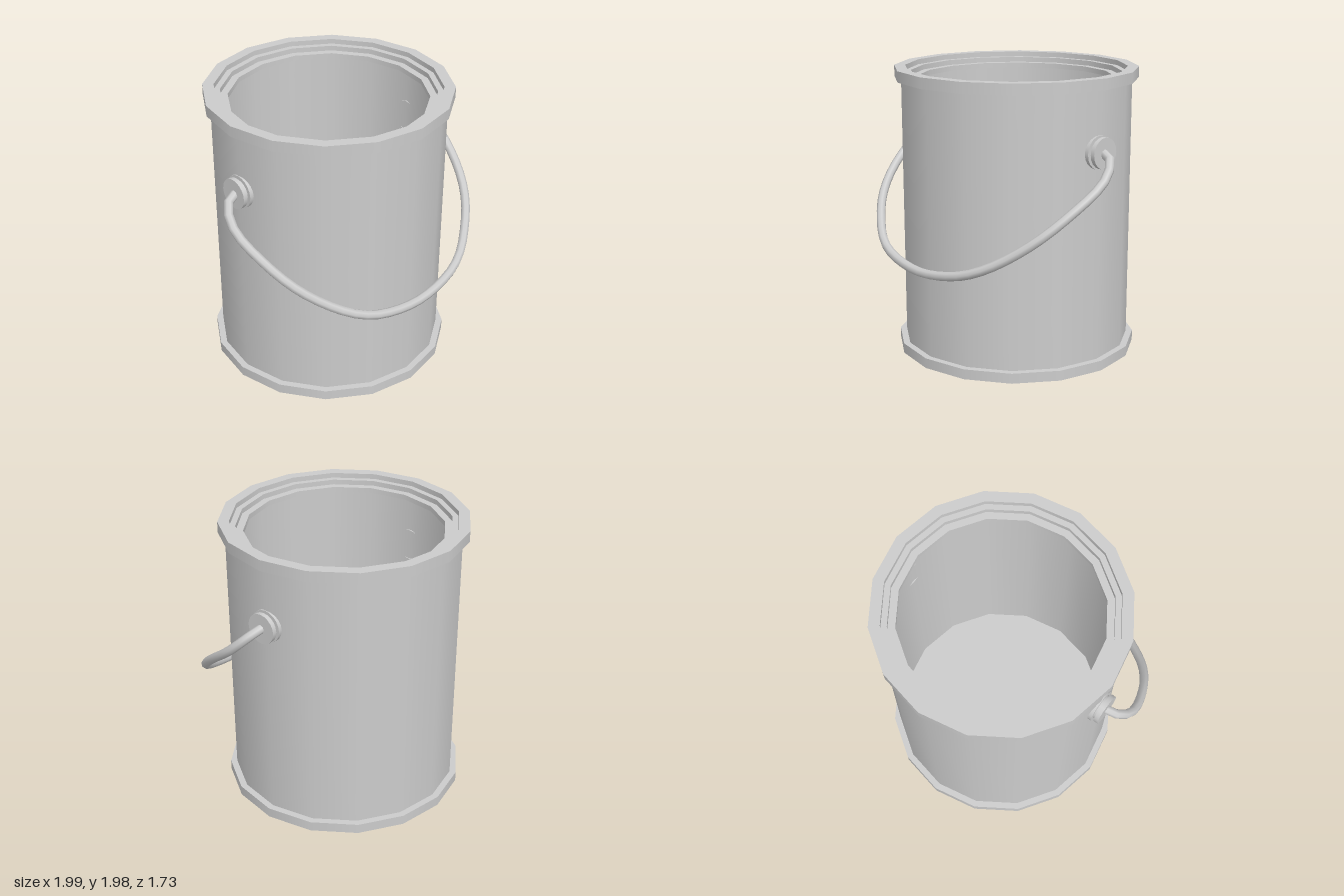
import * as THREE from 'three';
import { mergeGeometries } from 'three/addons/utils/BufferGeometryUtils.js';

const material = new THREE.MeshStandardMaterial({ color: 0xcccccc, side: THREE.DoubleSide });
const CENTER_Z = -0.035;

// Lathe whose profile corners stay sharp while the sides shade smoothly around.
function turned(name, profile, sides) {
  const bands = [];
  for (let i = 0; i < profile.length - 1; i++) {
    const pair = [profile[i], profile[i + 1]].map(([r, y]) => new THREE.Vector2(r, y));
    bands.push(new THREE.LatheGeometry(pair, sides));
  }
  const mesh = new THREE.Mesh(mergeGeometries(bands), material);
  mesh.name = name;
  return mesh;
}

export function createModel() {
  const group = new THREE.Group();
  group.name = 'paintCan';

  // Can: base with its rim, thin wall, and stepped rim around the opening
  const can = new THREE.Group();
  can.name = 'can';
  can.position.z = CENTER_Z;
  can.add(
    turned('base', [[0, 0], [0.835, 0], [0.835, 0.07], [0.79, 0.07]], 16),
    turned('outerWall', [[0.79, 0.07], [0.79, 1.9]], 16),
    turned('topRim', [
      [0.79, 1.9], [0.835, 1.9], [0.835, 1.975], [0.76, 1.975], [0.76, 1.94],
      [0.72, 1.94], [0.72, 1.905], [0.67, 1.905], [0.67, 1.87], [0.76, 1.87],
    ], 16),
    turned('innerWall', [[0.76, 1.87], [0.76, 0.07], [0, 0.07]], 16),
  );
  group.add(can);

  // Handle mounts: grooved round knobs on both sides
  for (const side of [1, -1]) {
    const mount = turned(side > 0 ? 'leftMount' : 'rightMount', [
      [0.113, 0], [0.113, 0.045], [0.088, 0.045], [0.088, 0.06],
      [0.104, 0.06], [0.104, 0.09], [0, 0.09],
    ], 20);
    mount.position.set(side * 0.75, 1.492, CENTER_Z + 0.005);
    mount.rotation.z = -side * Math.PI / 2;
    group.add(mount);
  }

  // Wire handle hanging forward, mirrored about the middle
  const half = [
    [0.82, 1.495, -0.03], [0.89, 1.475, -0.012], [0.94, 1.425, 0.035], [0.965, 1.33, 0.135],
    [0.9, 1.15, 0.37], [0.8, 1.01, 0.53], [0.65, 0.88, 0.66], [0.5, 0.79, 0.752], [0.33, 0.73, 0.805],
  ];
  const path = [
    ...half,
    [0, 0.688, 0.833],
    ...half.map(([x, y, z]) => [-x, y, z]).reverse(),
  ].map((p) => new THREE.Vector3(...p));
  const handle = new THREE.Mesh(
    new THREE.TubeGeometry(new THREE.CatmullRomCurve3(path), 40, 0.031, 8),
    material,
  );
  handle.name = 'handle';
  group.add(handle);

  return group;
}
